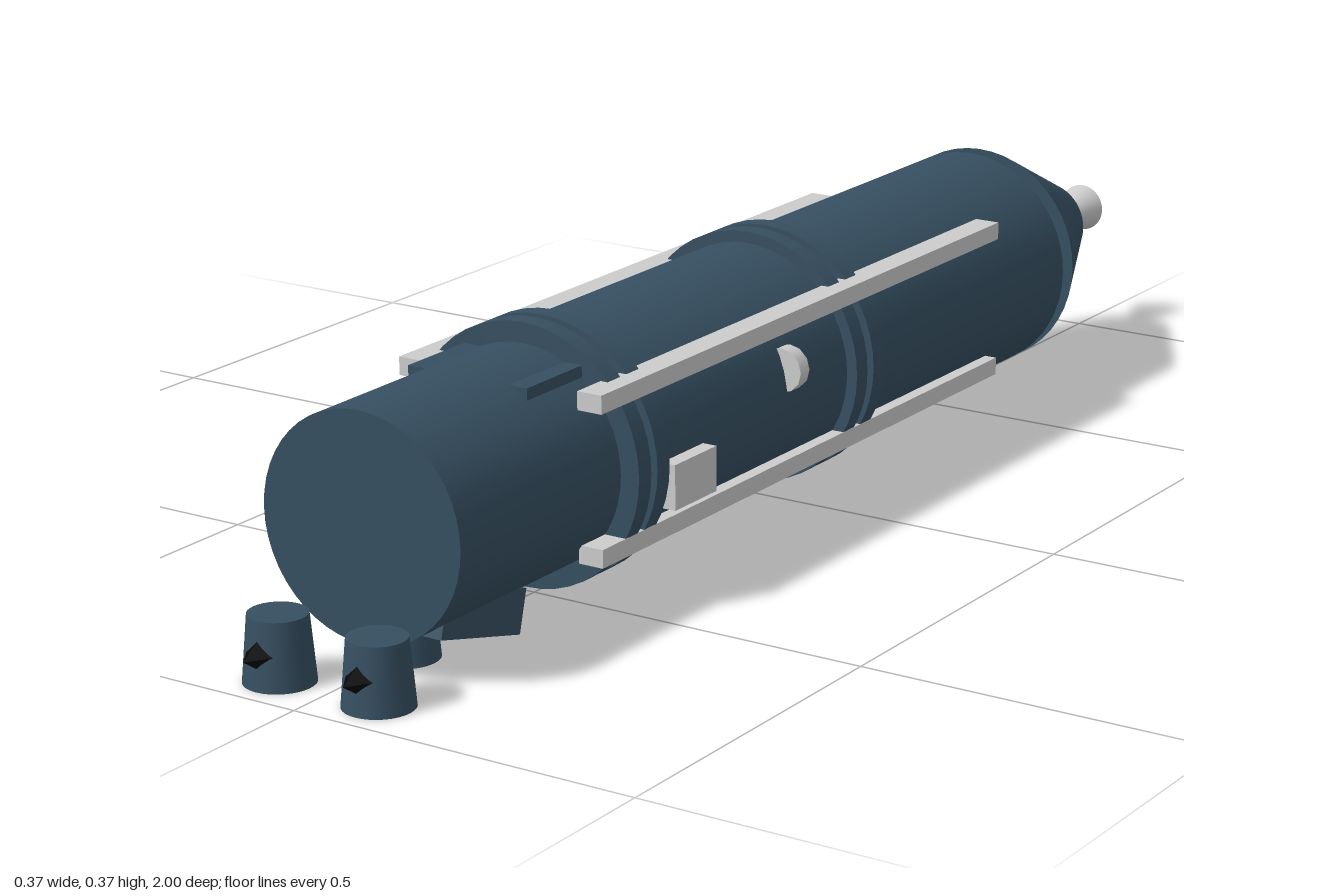
import * as THREE from 'three';

const AXIS_Y = 0.193; // height of the long axis

export function createModel() {
  const model = new THREE.Group();
  const hull = new THREE.MeshStandardMaterial({ color: 0x364f61 });
  const grey = new THREE.MeshStandardMaterial({ color: 0xcccccc });
  const black = new THREE.MeshStandardMaterial({ color: 0x080808 });

  const add = (name, geometry, material, x = 0, y = 0, z = 0) => {
    const mesh = new THREE.Mesh(geometry, material);
    mesh.name = name;
    mesh.position.set(x, y, z);
    model.add(mesh);
    return mesh;
  };
  const box = (name, material, [x0, x1], [y0, y1], [z0, z1]) =>
    add(name, new THREE.BoxGeometry(x1 - x0, y1 - y0, z1 - z0), material,
      (x0 + x1) / 2, (y0 + y1) / 2, (z0 + z1) / 2);
  // Closed drum or cone along z, from front to back
  const drum = (name, material, zFront, zBack, rFront, rBack = rFront, x = 0, y = AXIS_Y, sides = 48) =>
    add(name, new THREE.CylinderGeometry(rFront, rBack, zFront - zBack, sides).rotateX(Math.PI / 2),
      material, x, y, (zFront + zBack) / 2);

  // Hull sections, tail cone and nozzle
  drum('frontSection', hull, 0.86, 0.45, 0.152);
  drum('mainBody', hull, 0.5, -0.635, 0.164);
  drum('tailCone', hull, -0.665, -0.885, 0.164, 0.064);
  drum('nozzle', grey, -0.91, -1, 0.013, 0.036, 0, AXIS_Y, 32);

  // Two pairs of raised bands
  for (const z of [0.504, 0.462, -0.029, -0.073]) {
    drum('band', hull, z + 0.014, z - 0.014, 0.18);
  }

  // Flat housing on top of the front section
  box('topHousing', hull, [-0.093, 0.093], [0.314, 0.33], [0.45, 0.637]);

  for (const side of [-1, 1]) {
    const span = (a, b) => (side > 0 ? [a, b] : [-b, -a]);

    // Long rails and side boxes
    box('upperRail', grey, span(0.122, 0.159), [0.289, 0.314], [-0.443, 0.57]);
    box('lowerRail', grey, span(0.122, 0.159), [0.084, 0.109], [-0.443, 0.57]);
    box('sideBox', grey, span(0.14, 0.185), [0.13, 0.192], [0.346, 0.443]);

    // Slanted struts under the front section
    const strut = box('strut', hull, span(0.06, 0.093), [0.03, 0.09], [0.65, 0.82]);
    strut.position.set(side * 0.0765, 0.061, 0.735);
    strut.rotation.x = -0.26;
  }

  // Thin half-sunk discs, two on the right and one on the left
  for (const [side, z] of [[1, 0.128], [-1, 0.315], [-1, -0.255]]) {
    drum('sideDisc', grey, z + 0.011, z - 0.011, 0.031, 0.031, side * 0.154, 0.237, 12);
  }

  // Three tapered feet, each with a pointed black stud facing forward
  for (const [x, z] of [[-0.077, 0.931], [0.077, 0.931], [0, 0.779]]) {
    add('foot', new THREE.CylinderGeometry(0.039, 0.047, 0.09, 32), hull, x, 0.045, z);
    const stud = new THREE.ConeGeometry(0.023, 0.035, 4).rotateX(Math.PI / 2).toNonIndexed();
    stud.computeVertexNormals();
    add('stud', stud, black, x, 0.046, z + 0.0515);
  }

  return model;
}
